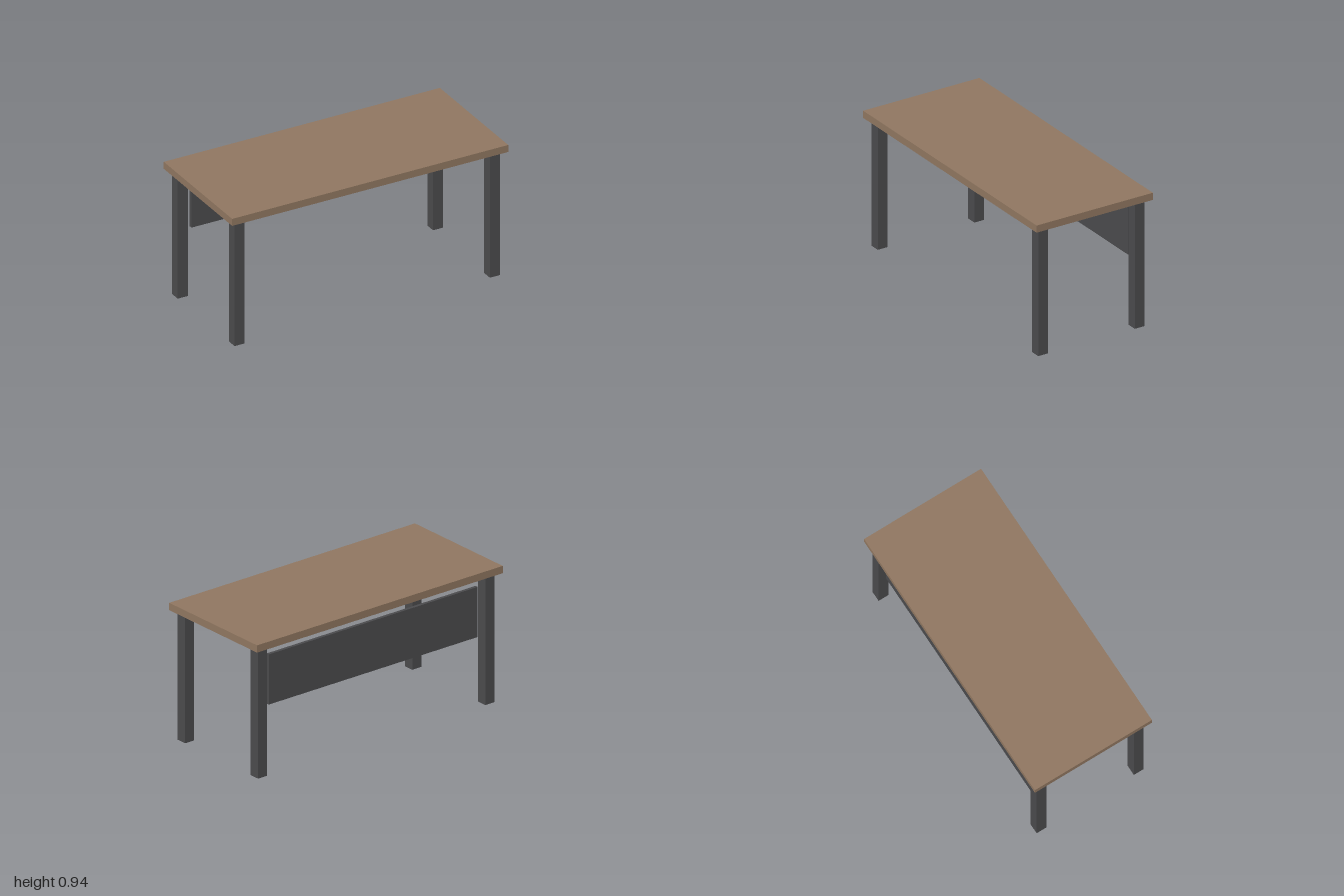
import * as THREE from 'three';

const wood = new THREE.MeshStandardMaterial({ color: 0x8f7660 });
const metal = new THREE.MeshStandardMaterial({ color: 0x4a4a4c });

function box(name, material, [w, h, d], [x, y, z]) {
  const mesh = new THREE.Mesh(new THREE.BoxGeometry(w, h, d), material);
  mesh.name = name;
  mesh.position.set(x, y, z);
  return mesh;
}

export function createModel() {
  const desk = new THREE.Group();
  desk.name = 'desk';

  const height = 0.9375, topThickness = 0.05;
  const legHeight = height - topThickness;
  const legSize = 0.0735, legX = 0.925, legZ = 0.3635;

  // Desktop slab
  desk.add(box('desktop', wood, [2, topThickness, 0.875], [0, height - topThickness / 2, 0]));

  // Four square legs, inset from the corners
  for (const [side, sx] of [['Left', 1], ['Right', -1]]) {
    for (const [end, sz] of [['front', 1], ['back', -1]]) {
      desk.add(box(`${end}${side}Leg`, metal, [legSize, legHeight, legSize],
        [sx * legX, legHeight / 2, sz * legZ]));
    }
  }

  // Thin modesty panel hanging between the back legs
  desk.add(box('modestyPanel', metal, [1.7, 0.344, 0.022], [0, 0.64, -0.36]));

  return desk;
}
